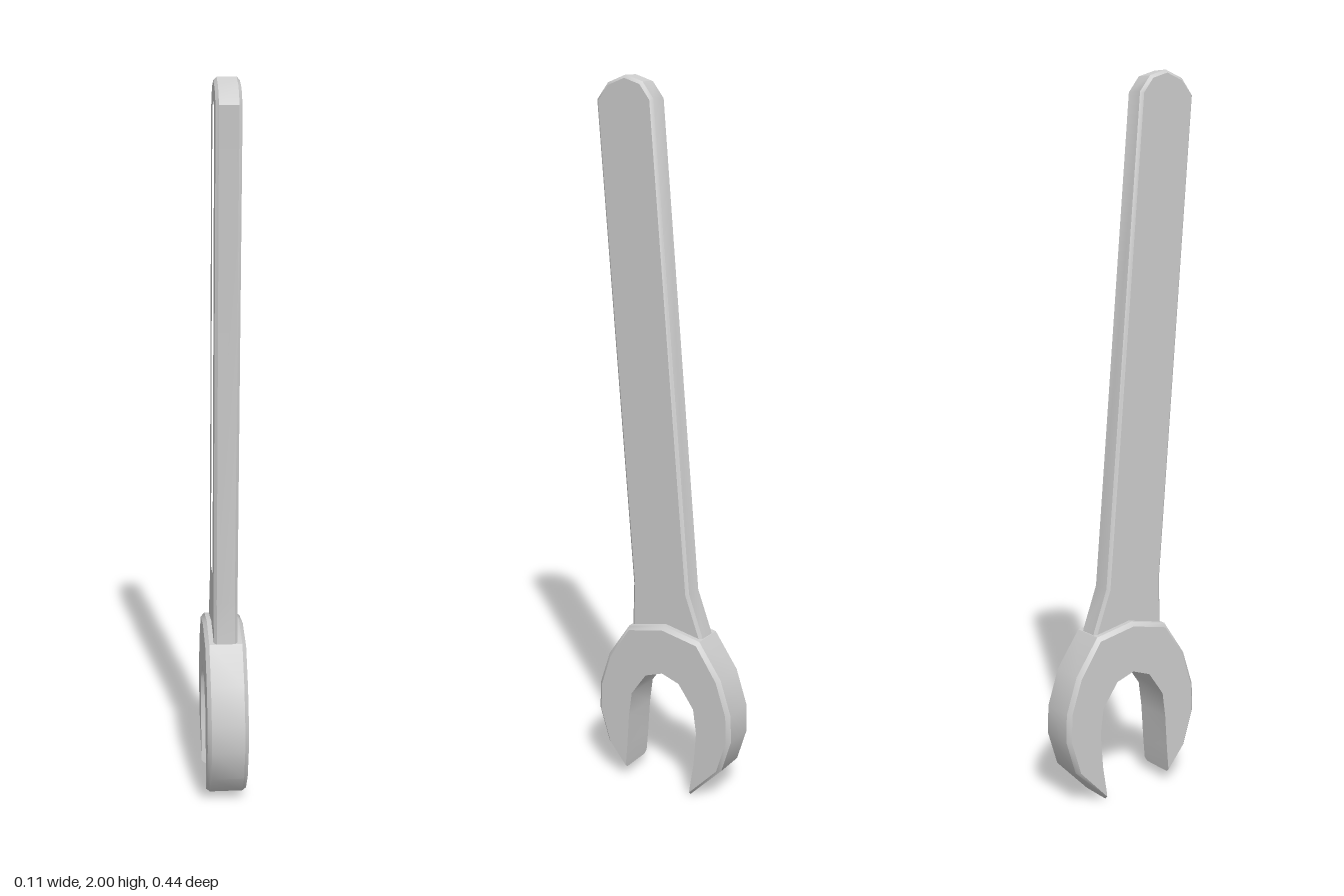
import * as THREE from 'three';
import { toCreasedNormals } from 'three/addons/utils/BufferGeometryUtils.js';

const material = new THREE.MeshStandardMaterial({ color: 0xcccccc });

function addMesh(group, name, geometry) {
  const mesh = new THREE.Mesh(toCreasedNormals(geometry, 0.6), material);
  mesh.name = name;
  group.add(mesh);
}

const toPoints = list => list.map(([z, y]) => new THREE.Vector2(z, y));

// Extrudes a (z, y) profile symmetrically across x.
function slab(shape, depth, bevel) {
  const geometry = new THREE.ExtrudeGeometry(shape, {
    depth, bevelEnabled: bevel > 0, bevelThickness: bevel,
    bevelSize: bevel, bevelOffset: -bevel, bevelSegments: 1,
  });
  return geometry.translate(0, 0, -depth / 2).rotateY(-Math.PI / 2);
}

// Open jaw: a chamfered section swept through outer/inner profile pairs.
function jawGeometry() {
  const half = 0.057, chamfer = 0.011;
  // [outer z, outer y, inner z, inner y], left tip over the crown to the right tip
  const side = [
    [0.22, 0.196, 0.113, 0.2],
    [0.218, 0.275, 0.103, 0.272],
    [0.185, 0.376, 0.076, 0.31],
    [0.116, 0.476, 0.055, 0.339],
  ];
  const stations = [
    [0.127, 0.028, 0.125, 0.045],
    [0.19, 0.1, 0.12, 0.1],
    ...side,
    [0, 0.5, 0, 0.358],
    ...side.map(([a, b, c, d]) => [-a, b, -c, d]).reverse(),
    [-0.19, 0.1, -0.105, 0.1],
    [-0.09, 0, -0.092, 0.02],
  ];
  const rings = stations.map(([oz, oy, iz, iy]) => {
    const t = Math.min(0.5, chamfer / Math.hypot(oz - iz, oy - iy));
    const cz = oz + (iz - oz) * t, cy = oy + (iy - oy) * t;
    return [
      [-half, iy, iz], [-half, cy, cz], [-half + chamfer, oy, oz],
      [half - chamfer, oy, oz], [half, cy, cz], [half, iy, iz],
    ];
  });
  const n = 6, index = [];
  for (let i = 0; i < rings.length - 1; i++) {
    for (let j = 0; j < n; j++) {
      const a = i * n + j, b = i * n + (j + 1) % n;
      index.push(a, b, a + n, b, b + n, a + n);
    }
  }
  const last = (rings.length - 1) * n;
  for (let j = 1; j < n - 1; j++) {
    index.push(0, j + 1, j, last, last + j, last + j + 1);
  }
  const geometry = new THREE.BufferGeometry();
  geometry.setAttribute('position', new THREE.Float32BufferAttribute(rings.flat(2), 3));
  geometry.setIndex(index);
  return geometry;
}

export function createModel() {
  const group = new THREE.Group();
  group.name = 'wrench';

  // Handle outline, leaning forward, with a flared root buried in the jaw
  const outline = toPoints([
    [-0.122, 0.44], [-0.112, 0.485], [-0.07, 0.6], [0.042, 1.94], [0.075, 1.983],
    [0.127, 2], [0.182, 1.98], [0.217, 1.936], [0.112, 0.6], [0.116, 0.476], [0.118, 0.44],
  ]);
  // Floor outline of the long recess
  const recess = toPoints([
    [-0.012, 0.656], [0.083, 1.912], [0.1, 1.938], [0.127, 1.949],
    [0.151, 1.939], [0.163, 1.912], [0.066, 0.656],
  ]);
  const frame = new THREE.Shape(outline);
  frame.holes.push(new THREE.Path(recess));

  addMesh(group, 'handle', slab(frame, 0.05, 0.008));
  addMesh(group, 'handleRecessFloor', slab(new THREE.Shape(recess), 0.05, 0));
  addMesh(group, 'jaw', jawGeometry());
  return group;
}
